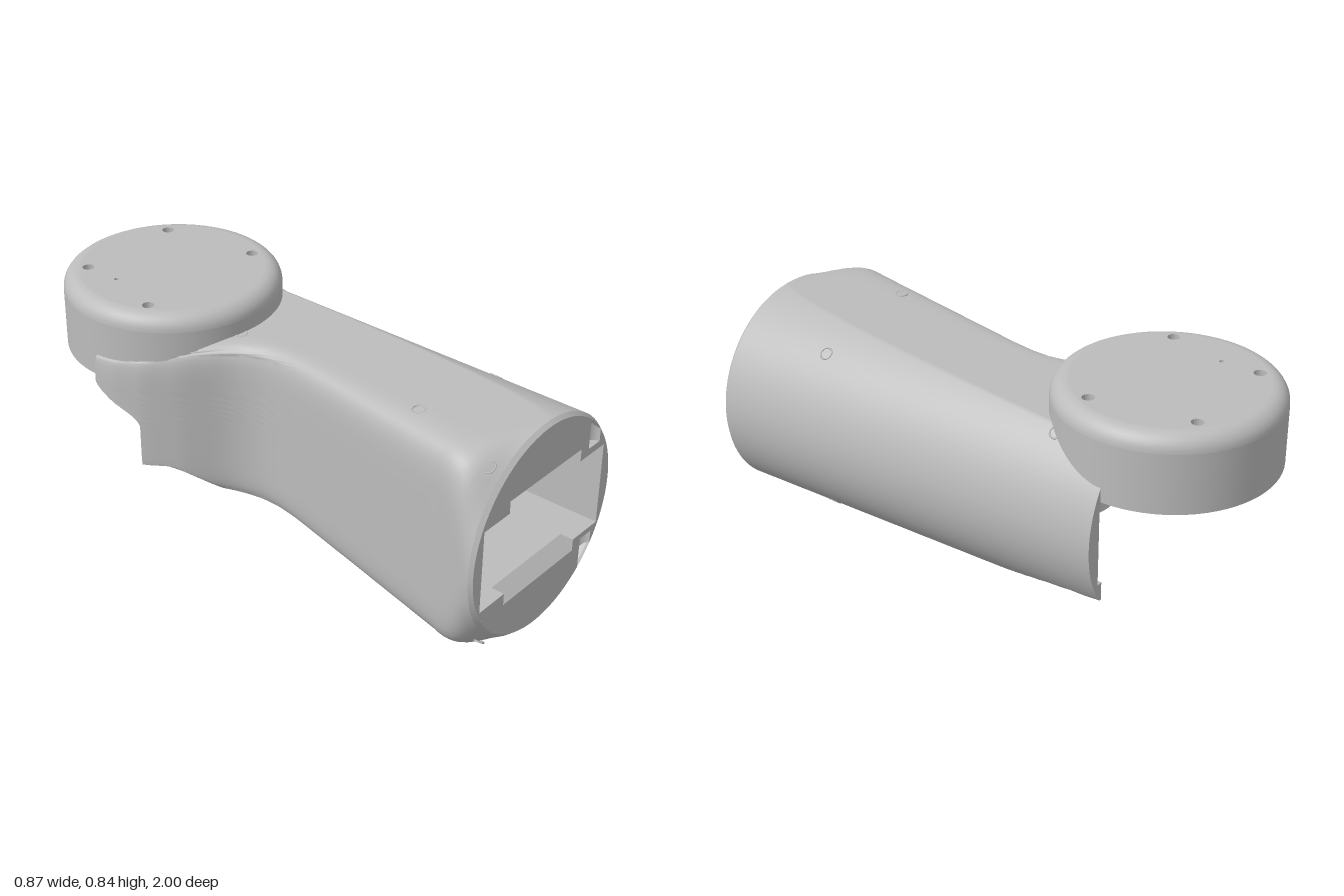
import * as THREE from 'three';

const CX = 0.038, CY = 0.399, R = 0.396;         // round front section
const AX = -0.024, AZ = -0.607, CUT = 0.375;     // vertical axis of the joint cap
const FLOOR = 0.24, CEIL = 0.555;                // channel through the arm
const clamp = THREE.MathUtils.clamp, smooth = THREE.MathUtils.smoothstep;

const gray = new THREE.MeshStandardMaterial({ color: 0xbcbcbc, side: THREE.DoubleSide });
gray.name = 'plain gray';

// left edge of the arm along its length: [z, x]
const LEFT = [[1, -0.358], [0.8, -0.288], [0.08, -0.15], [0, -0.14], [-0.07, -0.142], [-0.13, -0.16], [-0.18, -0.187],
  [-0.22, -0.22], [-0.31, -0.31], [-0.42, -0.39], [-0.52, -0.427], [-0.6, -0.437]];

function leftEdge(z) {
  for (let i = 1; i < LEFT.length; i++) {
    const [z0, x0] = LEFT[i - 1], [z1, x1] = LEFT[i];
    if (z >= z1) return x0 + (x1 - x0) * (z0 - z) / (z0 - z1);
  }
  return LEFT[LEFT.length - 1][1];
}

// point of the outer skin: round on the right, boxy on the left, sliced by sloping planes
function section(a, z) {
  const top = 0.795 - 0.0535 * (1 - z);
  const bottom = 0.003 + 0.08 * (1 - z) + 0.04 * smooth(-z, 0.1, 0.45);
  const c = Math.cos(a), s = Math.sin(a);
  let x, y;
  if (c >= 0) {
    x = CX + R * c;
    y = clamp(CY + R * s, bottom, top);
  } else {
    const n = 2 + 6 * smooth(1 - z, 0, 0.2);
    const r = Math.pow(Math.pow(-c, n) + Math.pow(Math.abs(s), n), -1 / n);
    x = CX + (CX - leftEdge(z)) * r * c;
    y = CY + (s > 0 ? top - CY : CY - bottom) * r * s;
    if (z < 0) {
      y = Math.min(y, 0.7 + 0.4 * (x + 0.28));
      y = Math.max(y, Math.min(0.24, 0.1 - 0.82 * (x + 0.16)));
    }
  }
  const k = z > 0.985 ? 1 - 0.03 * (z - 0.985) / 0.015 : 1;   // chamfered front rim
  return new THREE.Vector3(CX + (x - CX) * k, CY + (y - CY) * k, z);
}

// the back plane; the lower part of the left flange ends earlier
const backStop = (x, y) => (x < -0.2 ? -0.6 + 0.17 * (1 - smooth(y, 0.4, 0.55)) : -0.6);

// surface through rows of points
function grid(rows, closed) {
  const n = rows[0].length, pos = [], idx = [];
  rows.forEach(row => row.forEach(p => pos.push(p.x, p.y, p.z)));
  for (let i = 0; i < rows.length - 1; i++) {
    for (let j = 0; j < (closed ? n : n - 1); j++) {
      const k = (j + 1) % n, a = i * n + j, b = i * n + k, c = a + n, d = b + n;
      idx.push(a, c, b, b, c, d);
    }
  }
  const g = new THREE.BufferGeometry();
  g.setAttribute('position', new THREE.Float32BufferAttribute(pos, 3));
  g.setIndex(idx);
  g.computeVertexNormals();
  return g;
}

const v = (x, y, z) => new THREE.Vector3(x, y, z);
const wall = path => grid([FLOOR, CEIL].map(y => path.map(([x, z]) => v(x, y, z))), false);
const shapeOf = pts => new THREE.Shape(pts.map(([x, y]) => new THREE.Vector2(x, y)));

function arc(cx, cy, r, a0, a1, n) {
  return Array.from({ length: n + 1 }, (_, i) => {
    const a = a0 + (a1 - a0) * i / n;
    return [cx + r * Math.cos(a), cy + r * Math.sin(a)];
  });
}
const circle = (cx, cy, r, n) => shapeOf(arc(cx, cy, r, 0, Math.PI * 2, n).slice(0, n));

export function createModel() {
  const model = new THREE.Group();
  const add = (name, geo, x = 0, y = 0, z = 0) => {
    const m = new THREE.Mesh(geo, gray);
    m.name = name;
    m.position.set(x, y, z);
    model.add(m);
    return m;
  };

  // outer skin: each lengthwise line stops at the joint cylinder or at the back plane
  const N = 240, M = 60, angles = Array.from({ length: N }, (_, j) => j / N * Math.PI * 2);
  const ends = angles.map(a => {
    let z = 0;
    for (; z > -0.6; z -= 0.001) {
      const p = section(a, z);
      if (Math.hypot(p.x - AX, z - AZ) < CUT || z <= backStop(p.x, p.y)) break;
    }
    return Math.max(z, -0.6);
  });
  const rows = [angles.map(a => section(a, 1)), angles.map(a => section(a, 0.985))];
  add('frontRimChamfer', grid(rows, true));
  const skin = Array.from({ length: M + 1 }, (_, i) => angles.map((a, j) => section(a, 0.985 + (ends[j] - 0.985) * i / M)));
  add('armSkin', grid(skin, true));

  // back edge from the skin to the channel
  const last = skin[M];
  const inner = last.map(p => {
    const left = AX - Math.sqrt(Math.max(0, CUT * CUT - (p.z - AZ) ** 2));
    return v(clamp(p.x, left, 0.375), clamp(p.y, FLOOR, CEIL), p.z);
  });
  add('armBackEdge', grid([last, inner], true));

  // channel through the arm, ending in the concave seat under the cap
  const aL = Math.acos((-0.11 - AX) / CUT);
  const seat = arc(AX, AZ, CUT, Math.asin((-0.6 - AZ) / CUT), aL, 30);
  add('channelLeftWall', wall([[-0.3, 1], [-0.11, 0.03], [-0.11, seat[30][1]]]));
  add('channelRightWall', wall([[0.375, 1], [0.375, -0.6]]));
  const seatRows = Array.from({ length: 17 }, (_, i) => {
    const y = FLOOR + (CEIL - FLOOR) * i / 16;
    const aEnd = Math.PI - Math.asin((backStop(-1, y) - AZ) / CUT);
    return arc(AX, AZ, CUT, aL, aEnd, 24).map(([x, z]) => v(x, y, z));
  });
  add('concaveSeatWall', grid(seatRows, false));
  const plan = [[0.375, 0.95], [0.375, -0.6], ...seat, [-0.11, 0.03], [-0.29, 0.95]].map(([x, z]) => [x, -z]);
  for (const [name, y] of [['channelFloor', FLOOR], ['channelCeiling', CEIL]]) {
    add(name, new THREE.ShapeGeometry(shapeOf(plan)).rotateX(-Math.PI / 2), 0, y, 0);
    for (const [x0, x1] of [[-0.3, -0.165], [0.235, 0.375]]) {
      add(name + 'Lip', new THREE.PlaneGeometry(x1 - x0, 0.05).rotateX(-Math.PI / 2), (x0 + x1) / 2, y, 0.975);
    }
  }

  // front plate with the channel opening, bevelled notches and screw grooves
  const r = R * 0.97, a0 = Math.acos((0.345 - CX) / r), a1 = Math.acos((0.28 - CX) / r);
  const plate = shapeOf([...arc(CX, CY, r, -a0, a0, 30), [0.345, 0.582], [0.28, 0.582],
    ...arc(CX, CY, r, a1, Math.PI * 2 - a1, 90), [0.28, 0.218], [0.345, 0.218]]);
  plate.holes.push(shapeOf([[-0.3, FLOOR], [-0.165, FLOOR], [-0.165, 0.195], [0.235, 0.195], [0.235, FLOOR], [0.375, FLOOR],
    [0.375, CEIL], [0.235, CEIL], [0.235, 0.602], [-0.165, 0.602], [-0.165, CEIL], [-0.3, CEIL]]));
  add('frontPlate', new THREE.ShapeGeometry(plate), 0, 0, 1);
  for (const [yFront, yBack] of [[0.195, FLOOR], [0.602, CEIL]]) {
    add('notchBevel', grid([[v(-0.165, yFront, 1), v(0.235, yFront, 1)], [v(-0.165, yBack, 0.95), v(0.235, yBack, 0.95)]], false));
    for (const x of [-0.165, 0.235]) {
      add('notchEnd', grid([[v(x, yFront, 1), v(x, yBack, 1)], [v(x, yBack, 0.95), v(x, yBack, 0.95)]], false));
    }
  }
  // half-round grooves reach from a flat end out to the skin
  for (const s of [-1, 1]) {
    const path = arc(0.3125, 1, 0.0325, 0, -Math.PI, 16);
    const reach = path.map(([x, z]) => v(x, CY + s * Math.sqrt(r * r - (x - CX) ** 2), z));
    add('screwGroove', grid([path.map(([x, z]) => v(x, CY + s * 0.182, z)), reach], false));
    add('grooveEnd', new THREE.CircleGeometry(0.0325, 16, 0, Math.PI).rotateX(-Math.PI / 2), 0.3125, CY + s * 0.182, 1);
  }

  // screw hole rims on the top and bottom of the arm
  for (const [hx, hz] of [[-0.14, 0.61], [0.29, 0.61], [-0.225, 0.95], [0.29, -0.37], [-0.09, -0.215]]) {
    for (const s of [-1, 1]) {
      let best = 0, err = 9;
      for (let a = 0.3; a < 2.84; a += 0.004) {
        const e = Math.abs(section(s * a, hz).x - hx);
        if (e < err) { err = e; best = s * a; }
      }
      const p = section(best, hz);
      const t = section(best + 0.02, hz).sub(section(best - 0.02, hz));
      const rim = add('screwHoleRim', new THREE.TorusGeometry(0.022, 0.003, 6, 20), p.x, p.y, p.z);
      rim.quaternion.setFromUnitVectors(v(0, 0, 1), v(t.y, -t.x, 0).normalize());
    }
  }

  // hollow joint cap with a rounded upper edge
  const lathe = (name, pts) => add(name, new THREE.LatheGeometry(pts.map(([x, y]) => new THREE.Vector2(x, y)), 72), AX, 0, AZ);
  lathe('capOuterWall', [[0.396, 0.56], [0.396, 0.78], ...arc(0.336, 0.78, 0.06, 0, Math.PI / 2, 8)]);
  lathe('capRim', [[0.345, 0.56], [0.396, 0.56]]);
  lathe('capInnerWall', [[0.345, 0.78], [0.345, 0.56]]);
  lathe('capInnerLedge', [[0.3, 0.78], [0.345, 0.78]]);

  const holes = [[-0.23, -0.83], [0.178, -0.83], [-0.295, -0.46], [0.24, -0.46]];
  const disc = circle(0, 0, 0.336, 72);
  for (const [x, z, rad] of [...holes.map(h => [...h, 0.022]), [-0.23, -0.685, 0.009]]) {
    disc.holes.push(circle(x - AX, AZ - z, rad, 18));
  }
  const topGeo = new THREE.ExtrudeGeometry(disc, { depth: 0.06, bevelEnabled: false }).rotateX(-Math.PI / 2);
  add('capTop', topGeo, AX, 0.78, AZ);

  // bosses and stop block inside the cap
  for (const [x, z] of holes) {
    const ring = circle(0, 0, 0.045, 24);
    ring.holes.push(circle(0, 0, 0.012, 12));
    add('capBoss', new THREE.ExtrudeGeometry(ring, { depth: 0.025, bevelEnabled: false }).rotateX(-Math.PI / 2), x, 0.755, z);
  }
  add('capStop', new THREE.BoxGeometry(0.05, 0.08, 0.05), -0.1, 0.74, -0.41);
  return model;
}
